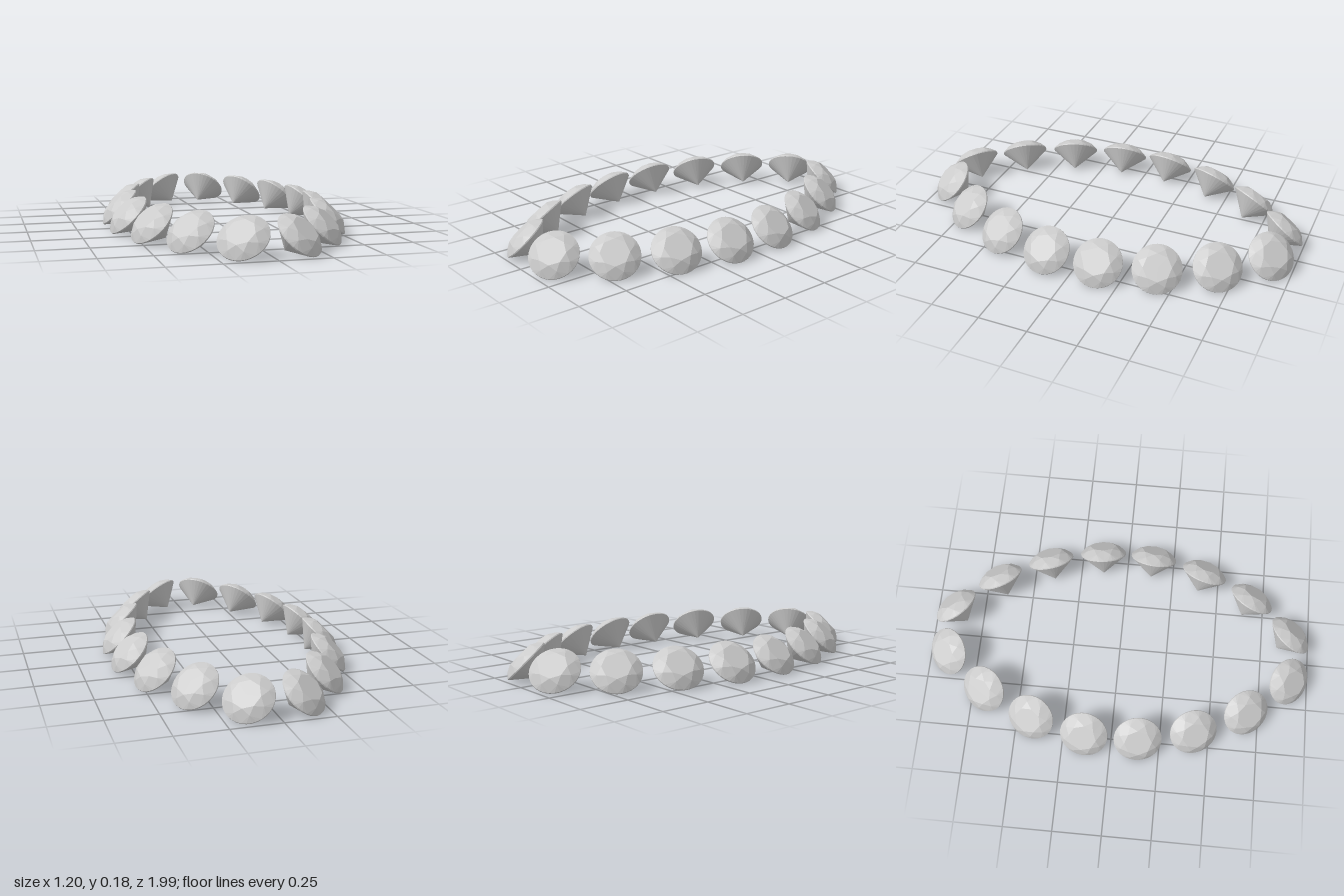
import * as THREE from 'three';

const RADIUS = 0.1225;   // girdle radius of one stone
const GIRDLE = 0.003;    // half thickness of the girdle band
const CROWN = 0.04;      // height of the table above the girdle
const PAVILION = 0.11;   // depth of the point below the girdle
const SEGMENTS = 32;

// Round brilliant: table, stars, kites, upper girdle facets, girdle, pavilion
function brilliantGeometry() {
  const pos = [];
  const tri = (...pts) => pts.forEach((p) => pos.push(p.x, p.y, p.z));
  const at = (r, turn, y) => new THREE.Vector3(
    r * RADIUS * Math.sin(turn * Math.PI * 2), y, r * RADIUS * Math.cos(turn * Math.PI * 2));

  const table = (i) => at(0.57, i / 8, GIRDLE + CROWN);
  const mid = (i) => at(0.8, (i + 0.5) / 8, GIRDLE + CROWN * 0.61);
  const upper = (j) => at(1, j / SEGMENTS, GIRDLE);
  const lower = (j) => at(1, j / SEGMENTS, -GIRDLE);
  const tableCentre = new THREE.Vector3(0, GIRDLE + CROWN, 0);
  const culet = new THREE.Vector3(0, -PAVILION, 0);

  for (let i = 0; i < 8; i++) {
    const tip = upper(i * 4);
    tri(tableCentre, table(i), table(i + 1));
    tri(table(i), mid(i), table(i + 1));
    tri(table(i), mid(i - 1), tip);
    tri(table(i), tip, mid(i));
    for (let j = i * 4; j < i * 4 + 4; j++) tri(mid(i), upper(j), upper(j + 1));
  }
  for (let j = 0; j < SEGMENTS; j++) {
    tri(upper(j), lower(j), lower(j + 1));
    tri(upper(j), lower(j + 1), upper(j + 1));
    tri(culet, lower(j + 1), lower(j));
  }

  const geometry = new THREE.BufferGeometry();
  geometry.setAttribute('position', new THREE.Float32BufferAttribute(pos, 3));
  geometry.computeVertexNormals();
  return geometry;
}

export function createModel() {
  const group = new THREE.Group();
  group.name = 'gemstoneRing';
  const geometry = brilliantGeometry();
  const material = new THREE.MeshStandardMaterial({ color: 0xcccccc, flatShading: true });

  // One quarter of the pointed oval: x, z and outward heading in degrees
  const quarter = [
    [0.13, 0.893, 40],
    [0.317, 0.68, 56],
    [0.444, 0.418, 69],
    [0.509, 0.138, 83],
  ];
  const tilt = Math.PI / 4;

  for (const sx of [1, -1]) {
    for (const sz of [1, -1]) {
      quarter.forEach(([x, z, degrees], n) => {
        const heading = THREE.MathUtils.degToRad(degrees);
        const stone = new THREE.Mesh(geometry, material);
        stone.name = `${sz > 0 ? 'front' : 'back'}${sx > 0 ? 'Left' : 'Right'}Stone${n + 1}`;
        stone.position.set(sx * x, RADIUS * Math.sin(tilt) + GIRDLE * Math.cos(tilt), sz * z);
        // Lean each stone outward, then turn it to its heading
        stone.rotation.set(tilt, Math.atan2(sx * Math.sin(heading), sz * Math.cos(heading)), 0, 'YXZ');
        group.add(stone);
      });
    }
  }
  return group;
}
